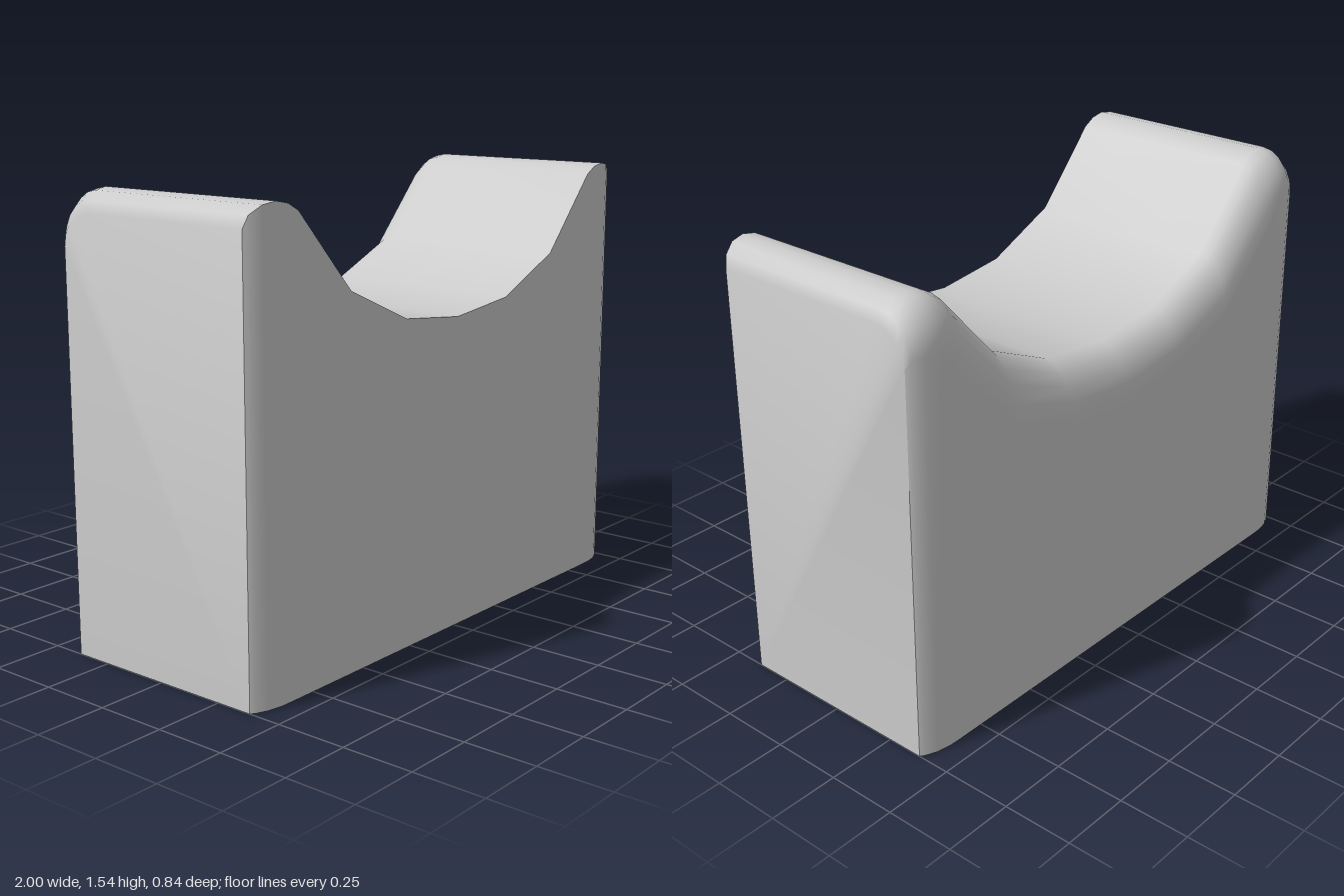
import * as THREE from 'three';
import { toCreasedNormals } from 'three/addons/utils/BufferGeometryUtils.js';

// Half of the saddle profile: x, top height, half depth, drop of the rear rounding
const half = [
  [0, 1.09, 0.42, 0.18], [0.28, 1.12, 0.42, 0.18], [0.56, 1.245, 0.42, 0.21],
  [0.8, 1.51, 0.42, 0.23], [0.845, 1.535, 0.42, 0.19], [0.895, 1.545, 0.419, 0.17],
  [0.945, 1.537, 0.41, 0.15], [0.985, 1.51, 0.393, 0.13], [1, 1.47, 0.382, 0.11],
];

// Cross-section at one x: sharp front top edge, rounded rear top edge
function section([x, top, depth, drop]) {
  const points = [[x, 0, depth], [x, top, depth]];
  const steps = 5;
  for (let i = 0; i <= steps; i++) {
    const a = (i / steps) * Math.PI / 2;
    points.push([x, top - drop * (1 - Math.cos(a)), -depth + 0.12 * (1 - Math.sin(a))]);
  }
  points.push([x, 0, -depth]);
  return points;
}

function saddleGeometry() {
  const mirrored = half.slice(1).reverse().map(([x, ...rest]) => [-x, ...rest]);
  const rings = [...mirrored, ...half].map(section);
  const n = rings[0].length;
  const last = rings.length - 1;
  const pos = [];
  const tri = (a, b, c) => pos.push(...a, ...b, ...c);

  // Skin between neighbouring sections, underside included
  for (let i = 0; i < last; i++) {
    for (let j = 0; j < n; j++) {
      const k = (j + 1) % n;
      const a = rings[i][j], b = rings[i][k], c = rings[i + 1][k], d = rings[i + 1][j];
      tri(a, d, c);
      tri(a, c, b);
    }
  }
  // Flat ends
  for (let j = 1; j < n - 1; j++) {
    tri(rings[0][0], rings[0][j], rings[0][j + 1]);
    tri(rings[last][0], rings[last][j + 1], rings[last][j]);
  }

  const geometry = new THREE.BufferGeometry();
  geometry.setAttribute('position', new THREE.Float32BufferAttribute(pos, 3));
  return toCreasedNormals(geometry, 0.9);
}

export function createModel() {
  const group = new THREE.Group();
  const body = new THREE.Mesh(
    saddleGeometry(),
    new THREE.MeshStandardMaterial({ color: 0xcccccc }),
  );
  body.name = 'saddleBlock';
  group.add(body);
  return group;
}
